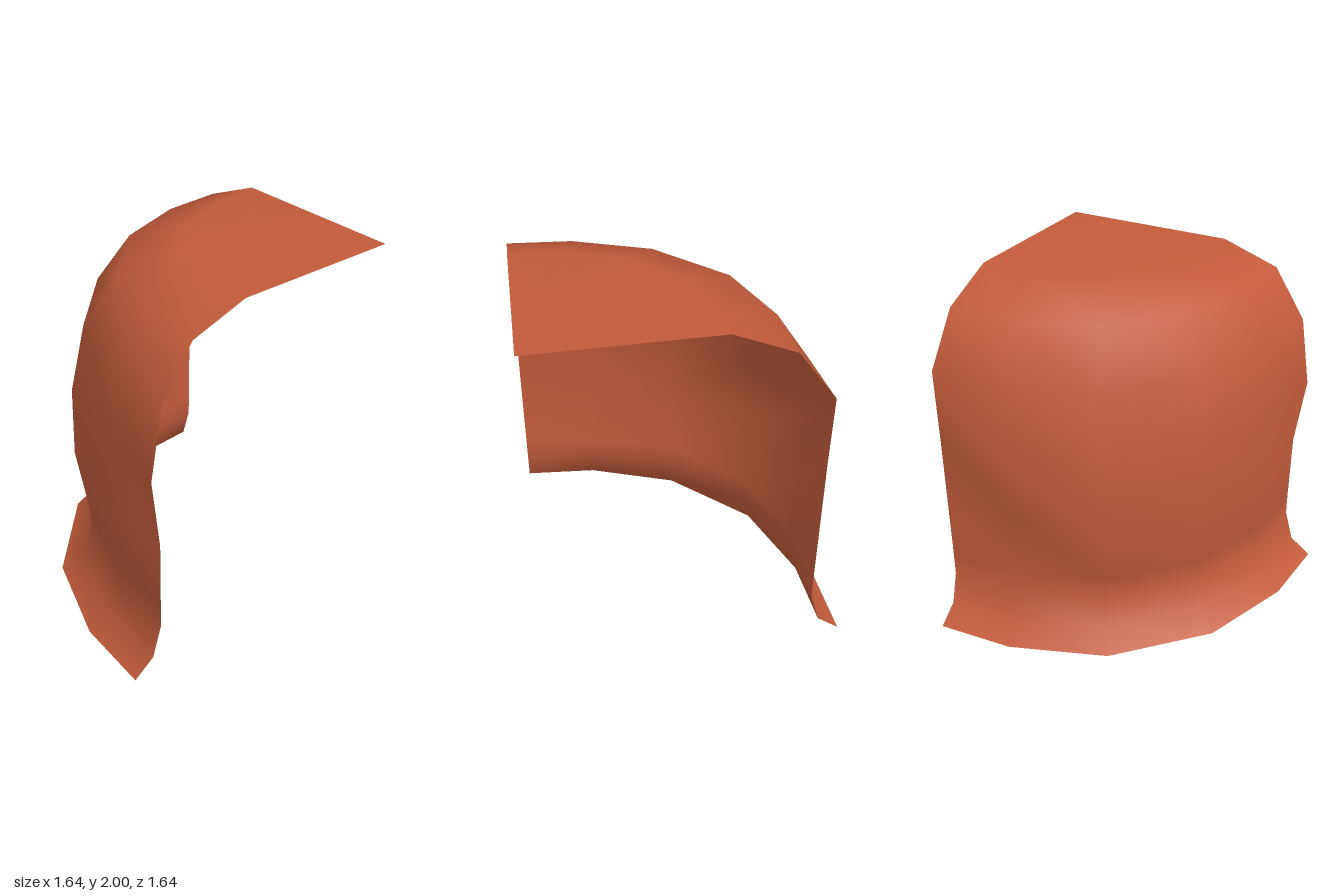
import * as THREE from 'three';

// Quarter of a flared dome: six meridians around a corner axis, closed by a flat cap.
const AXIS = { x: 0.82, z: -0.82 };

// Meridian directions, from the front edge round to the side edge
const RING = [[0, 1], [0.268, 0.98], [0.592, 0.86], [0.865, 0.592], [0.982, 0.268], [1, 0]];

// Profile: radius, height
const PROFILE = [
  [1.64, 0], [1.52, 0.09], [1.47, 0.27], [1.47, 0.4], [1.475, 0.8],
  [1.48, 1.2], [1.47, 1.59], [1.29, 1.87], [0.97, 1.98],
];

// Dents and bulges in the wall: row, meridian, x, y, z
const DENTS = [
  [4, 1, 0.40, 0.8, 0.70], [4, 2, -0.10, 0.8, 0.50], [4, 3, -0.58, 0.8, 0.14],
  [5, 0, 0.82, 1.2, 0.71], [5, 1, 0.40, 1.2, 0.62], [5, 2, -0.10, 1.2, 0.50],
  [5, 4, -0.70, 1.2, -0.40], [6, 5, -0.67, 1.59, -0.82], [8, 5, -0.15, 2.0, -0.82],
];

function shellGeometry() {
  const n = RING.length;
  const pos = [];
  for (const [r, y] of PROFILE) {
    for (const [dx, dz] of RING) pos.push(AXIS.x - r * dx, y, AXIS.z + r * dz);
  }
  for (const [row, col, x, y, z] of DENTS) {
    const k = (row * n + col) * 3;
    pos[k] = x; pos[k + 1] = y; pos[k + 2] = z;
  }
  const apex = pos.length / 3;
  pos.push(AXIS.x, 1.98, AXIS.z);

  const index = [];
  const last = PROFILE.length - 1;
  for (let j = 0; j < n - 1; j++) {
    // wall strip
    for (let i = 0; i < last; i++) {
      const a = i * n + j, b = a + 1, c = a + n, d = c + 1;
      index.push(a, c, d, a, d, b);
    }
    // cap fan
    index.push(last * n + j, apex, last * n + j + 1);
  }
  const geo = new THREE.BufferGeometry();
  geo.setAttribute('position', new THREE.Float32BufferAttribute(pos, 3));
  geo.setIndex(index);
  geo.computeVertexNormals();
  return geo;
}

export function createModel() {
  const terracotta = new THREE.MeshStandardMaterial({ color: 0xc25b3a, side: THREE.DoubleSide });
  terracotta.name = 'terracotta';

  const shell = new THREE.Mesh(shellGeometry(), terracotta);
  shell.name = 'domeShell';

  const group = new THREE.Group();
  group.name = 'quarterDome';
  group.add(shell);
  return group;
}
